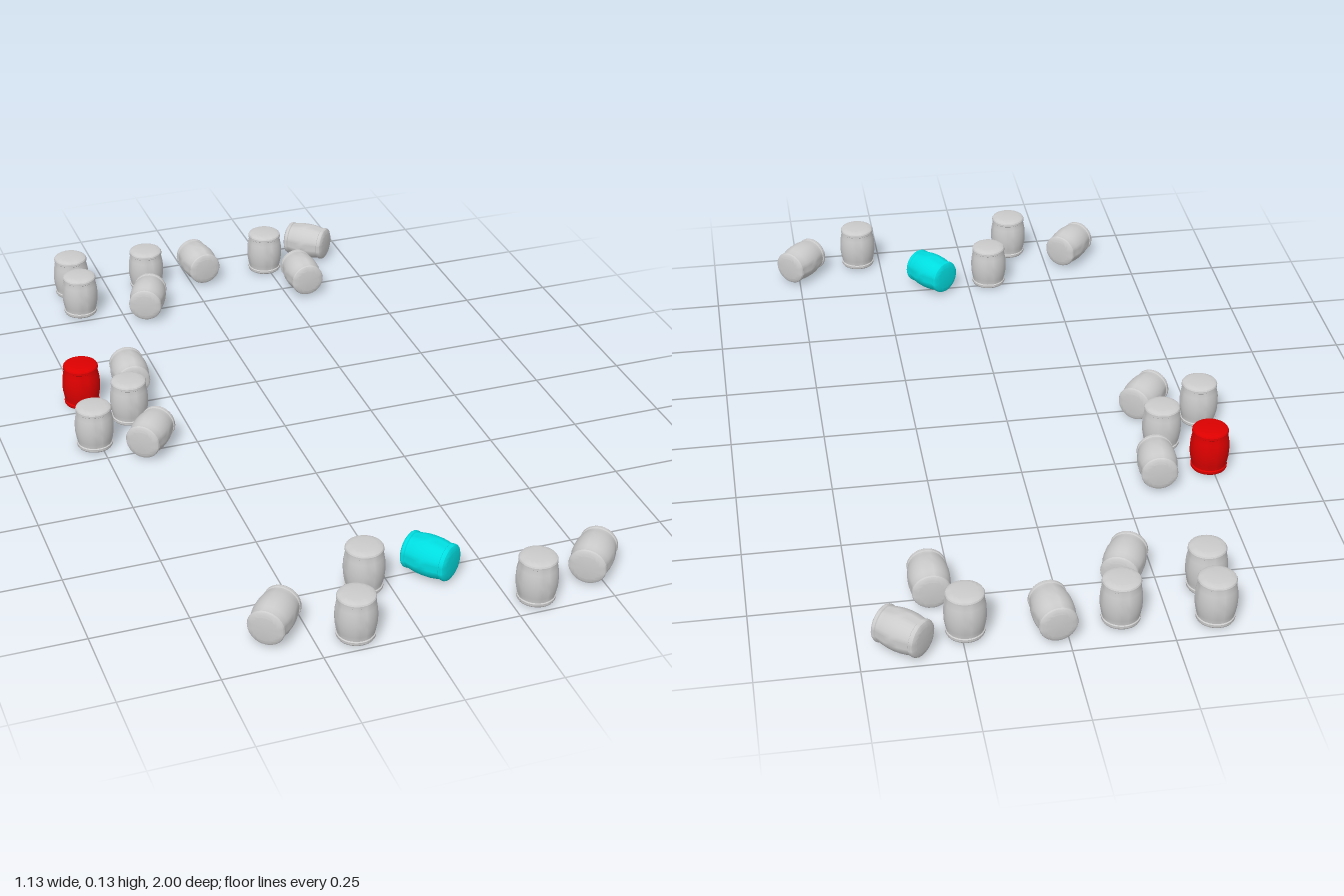
import * as THREE from 'three';
import { toCreasedNormals } from 'three/addons/utils/BufferGeometryUtils.js';

const HALF = 0.0635; // half the barrel length
const BELLY = 0.052; // widest radius

// Bulging barrel with a raised band and a bevelled lid at each end, centred on the origin
function barrelGeometry() {
  const end = [[0, HALF], [0.033, HALF], [0.039, 0.0625], [0.046, 0.0585], [0.048, 0.055], [0.048, 0.049], [0.0455, 0.047]];
  const belly = [[0.0485, 0.034], [0.0512, 0.018]];
  const upper = [...end, ...belly];
  const profile = [
    ...upper.map(([r, y]) => new THREE.Vector2(r, -y)),
    new THREE.Vector2(BELLY, 0),
    ...upper.slice().reverse().map(([r, y]) => new THREE.Vector2(r, y)),
  ];
  return toCreasedNormals(new THREE.LatheGeometry(profile, 32), 0.5);
}

// Standing barrels: x, z
const standing = [
  [-0.36, -0.93], [-0.365, -0.805], [-0.135, -0.9], [0.24, -0.893],
  [-0.39, -0.175], [-0.515, -0.073],
  [-0.063, 0.768], [-0.15, 0.945], [0.315, 0.945],
];

// Barrels lying on their side: x, z, heading of the axis in degrees from +z towards +x
const lying = [
  [-0.175, -0.74, -24], [0.032, -0.908, 5], [0.393, -0.93, 48], [0.307, -0.738, 0],
  [-0.345, -0.332, -5], [-0.377, -0.007, -39],
  [-0.328, 0.872, -40], [0.49, 0.893, -41],
];

export function createModel() {
  const group = new THREE.Group();
  group.name = 'barrels';
  const geometry = barrelGeometry();
  const grey = new THREE.MeshStandardMaterial({ color: 0xcccccc });
  const red = new THREE.MeshStandardMaterial({ color: 0xdd0000 });
  const cyan = new THREE.MeshStandardMaterial({ color: 0x00dde0 });

  const stand = (name, material, x, z) => {
    const mesh = new THREE.Mesh(geometry, material);
    mesh.name = name;
    mesh.position.set(x, HALF, z);
    group.add(mesh);
  };
  const lay = (name, material, x, z, heading) => {
    const mesh = new THREE.Mesh(geometry, material);
    mesh.name = name;
    mesh.rotation.order = 'YXZ';
    mesh.rotation.set(Math.PI / 2, THREE.MathUtils.degToRad(heading), 0);
    mesh.position.set(x, 0.054, z);
    group.add(mesh);
  };

  standing.forEach(([x, z], i) => stand(`standingBarrel${i + 1}`, grey, x, z));
  lying.forEach(([x, z, a], i) => lay(`lyingBarrel${i + 1}`, grey, x, z, a));

  // The two coloured barrels
  stand('redBarrel', red, -0.492, -0.3);
  lay('cyanBarrel', cyan, 0.11, 0.768, 38);
  return group;
}
